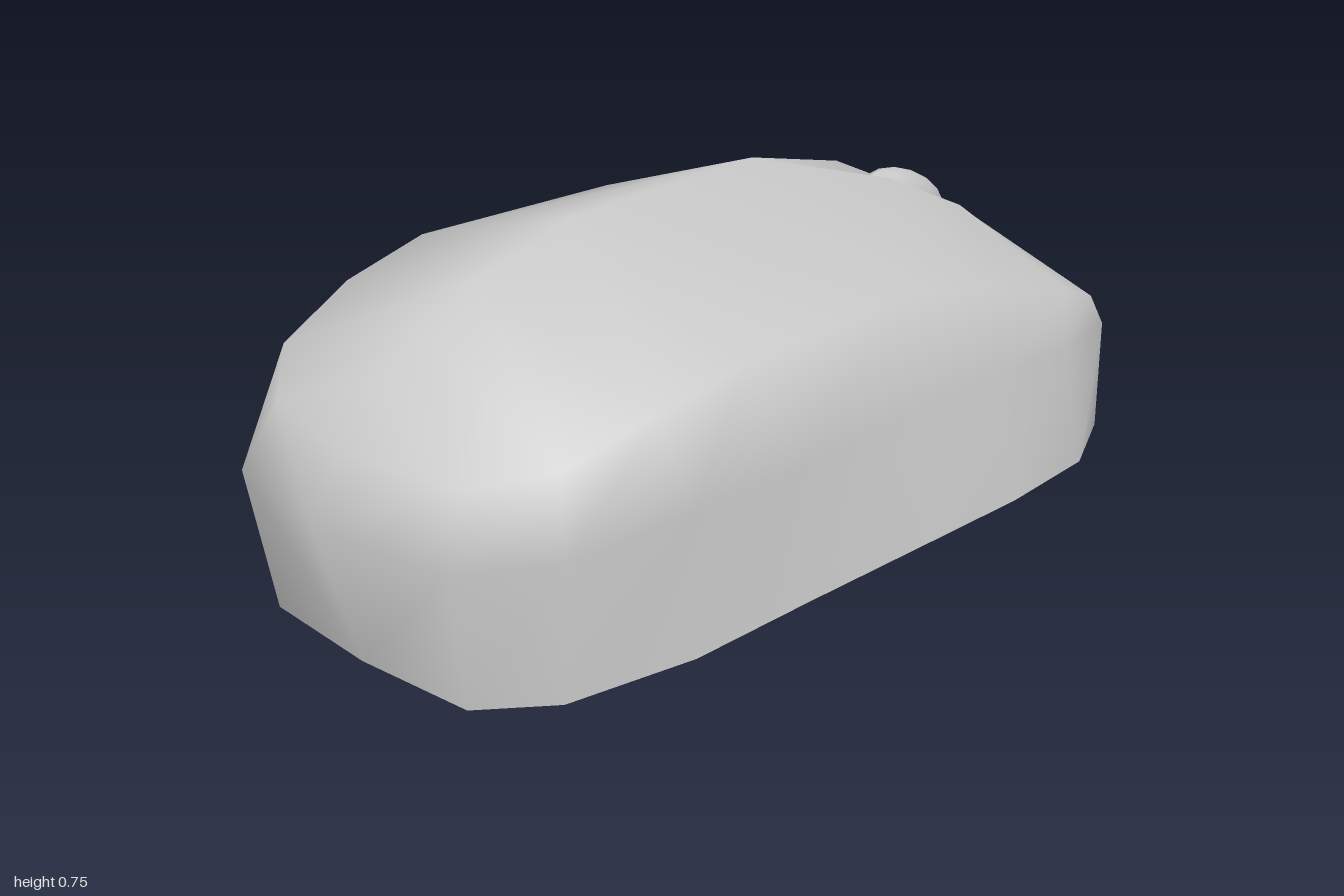
import * as THREE from 'three';
import { mergeVertices } from 'three/addons/utils/BufferGeometryUtils.js';

// Lines running from the rear (-x) to the nose (+x) along one flank, 11 stations each.
const hem = [
  [-0.9, 0.02, 0], [-0.88, 0.02, 0.27], [-0.75, 0.025, 0.39], [-0.48, 0.035, 0.465],
  [-0.2, 0.055, 0.5], [0.17, 0.055, 0.52], [0.42, 0.04, 0.515], [0.67, 0.03, 0.495],
  [0.87, 0.01, 0.39], [0.955, 0.005, 0.25], [0.975, 0, 0],
];
const waist = [
  [-1, 0.35, 0], [-0.93, 0.33, 0.29], [-0.76, 0.33, 0.41], [-0.48, 0.34, 0.46],
  [-0.2, 0.34, 0.475], [0.17, 0.33, 0.475], [0.42, 0.31, 0.465], [0.67, 0.28, 0.445],
  [0.88, 0.25, 0.385], [0.96, 0.25, 0.26], [1, 0.25, 0],
];
const shoulder = [
  [-0.92, 0.465, 0], [-0.86, 0.46, 0.26], [-0.74, 0.5, 0.385], [-0.54, 0.555, 0.43],
  [-0.33, 0.585, 0.445], [0.17, 0.555, 0.42], [0.47, 0.47, 0.412], [0.72, 0.385, 0.41],
  [0.86, 0.315, 0.365], [0.93, 0.3, 0.24], [0.95, 0.3, 0],
];
// Along the spine; it splits into the two lips of the wheel slot near the nose.
const spine = [
  [-0.84, 0.58, 0], [-0.84, 0.58, 0], [-0.72, 0.64, 0], [-0.59, 0.7, 0],
  [-0.33, 0.75, 0], [0.17, 0.73, 0], [0.52, 0.605, 0.075], [0.76, 0.475, 0.075],
  [0.82, 0.435, 0.05], [0.845, 0.415, 0], [0.86, 0.4, 0],
];
// Depth of the slot floor below the spine
const slotDepth = [0, 0, 0, 0, 0, 0, 0.035, 0.035, 0.015, 0, 0];

function shellGeometry() {
  const positions = [], index = [];
  const rows = 9, columns = hem.length;
  for (let j = 0; j < columns; j++) {
    const half = [hem, waist, shoulder, spine].map((line) => line[j]);
    const [x, y] = spine[j];
    const floor = [x, y - slotDepth[j], 0];
    const mirrored = half.map(([px, py, pz]) => [px, py, -pz]).reverse();
    positions.push(...[...half, floor, ...mirrored].flat());
  }
  for (let j = 0; j < columns - 1; j++) {
    for (let i = 0; i < rows - 1; i++) {
      const a = j * rows + i, b = a + rows;
      // mirrored diagonals keep both flanks alike
      if (i < 4) index.push(a, b, b + 1, a, b + 1, a + 1);
      else index.push(a, b, a + 1, b, b + 1, a + 1);
    }
  }
  const geometry = new THREE.BufferGeometry();
  geometry.setAttribute('position', new THREE.Float32BufferAttribute(positions, 3));
  geometry.setIndex(index);
  const merged = mergeVertices(geometry, 1e-4);
  merged.computeVertexNormals();
  return merged;
}

export function createModel() {
  const model = new THREE.Group();
  model.name = 'computerMouse';

  // Hollow body, open underneath
  const shell = new THREE.Mesh(
    shellGeometry(),
    new THREE.MeshStandardMaterial({ color: 0xcccccc, side: THREE.DoubleSide }),
  );
  shell.name = 'shell';
  model.add(shell);

  // Scroll wheel, an oval bead lying along the sloping slot
  const wheel = new THREE.Mesh(
    new THREE.SphereGeometry(1, 10, 8),
    new THREE.MeshStandardMaterial({ color: 0xcccccc }),
  );
  wheel.name = 'scrollWheel';
  wheel.scale.set(0.143, 0.066, 0.056);
  wheel.rotation.z = -0.47;
  wheel.position.set(0.65, 0.5, 0);
  model.add(wheel);

  return model;
}
